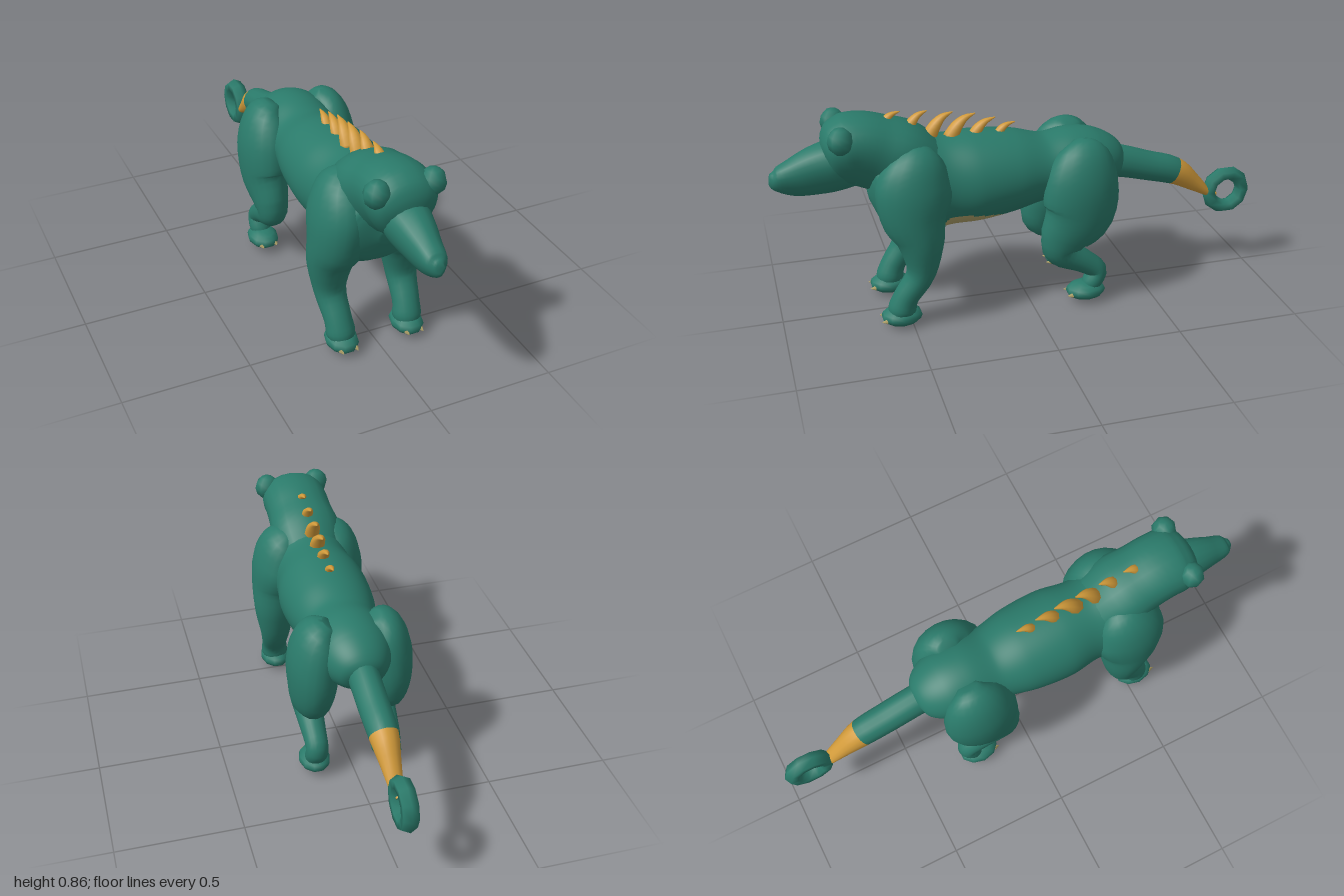
import * as THREE from 'three';

const skin = new THREE.MeshStandardMaterial({ name: 'teal hide', color: 0x2a7a6a });
const gold = new THREE.MeshStandardMaterial({ name: 'gold', color: 0xd19a3a });
const tan = new THREE.MeshStandardMaterial({ name: 'tan belly', color: 0xb0a26a });

// Smooth loft through rows of [x, y, z, halfWidth, halfDepth].
// taper widens the upper side; isPatch(y, z) marks faces for the second material.
function loft(rows, { sides = 20, steps = 4, taper = 0, isPatch = () => false } = {}) {
  const path = new THREE.CatmullRomCurve3(rows.map(r => new THREE.Vector3(r[0], r[1], r[2])), false, 'catmullrom');
  const size = new THREE.CatmullRomCurve3(rows.map(r => new THREE.Vector3(r[3], r[4], 0)), false, 'catmullrom');
  const count = (rows.length - 1) * steps;
  const pos = [], main = [], patch = [];
  for (let i = 0; i <= count; i++) {
    const c = path.getPoint(i / count), s = size.getPoint(i / count), t = path.getTangent(i / count);
    const side = new THREE.Vector3(1, 0, 0).addScaledVector(t, -t.x).normalize();
    const up = new THREE.Vector3().crossVectors(t, side);
    for (let j = 0; j < sides; j++) {
      const a = (j / sides) * Math.PI * 2;
      const p = c.clone()
        .addScaledVector(side, Math.cos(a) * Math.max(s.x, 0.002) * (1 + taper * Math.sin(a)))
        .addScaledVector(up, Math.sin(a) * Math.max(s.y, 0.002));
      pos.push(p.x, p.y, p.z);
    }
  }
  for (let i = 0; i < count; i++) {
    for (let j = 0; j < sides; j++) {
      const a = i * sides + j, b = i * sides + (j + 1) % sides, c = a + sides, d = b + sides;
      const y = (pos[a * 3 + 1] + pos[d * 3 + 1]) / 2, z = (pos[a * 3 + 2] + pos[d * 3 + 2]) / 2;
      (isPatch(y, z) ? patch : main).push(a, b, d, a, d, c);
    }
  }
  // end caps
  const last = count * sides;
  for (let j = 1; j < sides - 1; j++) main.push(0, j + 1, j, last, last + j, last + j + 1);
  const g = new THREE.BufferGeometry();
  g.setAttribute('position', new THREE.Float32BufferAttribute(pos, 3));
  g.setIndex([...main, ...patch]);
  g.addGroup(0, main.length, 0);
  if (patch.length) g.addGroup(main.length, patch.length, 1);
  g.computeVertexNormals();
  return g;
}

// rounded belly outline, higher toward the chest
function onBelly(y, z) {
  const u = (z - 0.215) / 0.155;
  return Math.abs(u) < 1 && y < 0.352 + (0.07 + 0.035 * u) * Math.pow(1 - u ** 4, 0.5) + 0.012 * (1 - u);
}

export function createModel() {
  const model = new THREE.Group();
  const add = (name, geometry, material) => {
    const m = new THREE.Mesh(geometry, material);
    m.name = name;
    model.add(m);
    return m;
  };
  const blob = (name, p, r, w, h) => {
    const m = add(name, new THREE.SphereGeometry(1, w, h), skin);
    m.position.set(...p);
    m.scale.set(...r);
  };

  // torso with a tan belly
  add('torso', loft([
    [0, 0.55, -0.41, 0.02, 0.02], [0, 0.555, -0.385, 0.09, 0.08], [0, 0.565, -0.3, 0.14, 0.125],
    [0, 0.57, -0.2, 0.15, 0.14], [0, 0.56, -0.08, 0.15, 0.135], [0, 0.56, 0.05, 0.175, 0.165],
    [0, 0.555, 0.2, 0.183, 0.185], [0, 0.55, 0.33, 0.165, 0.188], [0, 0.545, 0.45, 0.18, 0.212],
    [0, 0.54, 0.54, 0.185, 0.182], [0, 0.53, 0.6, 0.15, 0.13], [0, 0.525, 0.63, 0.03, 0.03],
  ], { sides: 90, steps: 12, isPatch: onBelly }), [skin, tan]);

  // neck and skull
  add('head', loft([
    [0, 0.58, 0.36, 0.115, 0.12], [0, 0.65, 0.49, 0.142, 0.155], [0, 0.69, 0.585, 0.132, 0.15],
    [0, 0.714, 0.66, 0.13, 0.146], [0, 0.712, 0.72, 0.127, 0.137], [0, 0.705, 0.77, 0.1, 0.1],
    [0, 0.7, 0.795, 0.03, 0.03],
  ], { sides: 24, taper: 0.28 }), skin);

  // tapering snout
  add('snout', loft([
    [0, 0.67, 0.66, 0.07, 0.1], [0, 0.658, 0.74, 0.085, 0.104], [0, 0.645, 0.81, 0.075, 0.1],
    [0, 0.626, 0.9, 0.056, 0.08], [0, 0.623, 0.97, 0.042, 0.05], [0, 0.628, 1.0, 0.015, 0.022],
  ], { sides: 20, taper: 0.25 }), skin);

  for (const s of [1, -1]) {
    const label = s > 0 ? 'left' : 'right';
    const flip = rows => rows.map(([x, ...rest]) => [x * s, ...rest]);

    blob(label + 'Ear', [0.108 * s, 0.795, 0.735], [0.052, 0.054, 0.05], 8, 6);

    // front leg from shoulder to ankle
    add(label + 'FrontLeg', loft(flip([
      [0.07, 0.73, 0.43, 0.03, 0.04], [0.105, 0.675, 0.445, 0.085, 0.11], [0.125, 0.58, 0.468, 0.106, 0.15],
      [0.135, 0.47, 0.475, 0.106, 0.132], [0.15, 0.36, 0.455, 0.09, 0.092], [0.152, 0.23, 0.46, 0.064, 0.058],
      [0.146, 0.13, 0.52, 0.054, 0.05], [0.142, 0.07, 0.54, 0.056, 0.056], [0.142, 0.03, 0.54, 0.03, 0.04],
    ])), skin);
    blob(label + 'FrontFoot', [0.14 * s, 0.043, 0.542], [0.064, 0.041, 0.083], 10, 8);

    // hind leg from hip through knee and hock
    add(label + 'HindLeg', loft(flip([
      [0.09, 0.69, -0.22, 0.03, 0.04], [0.125, 0.64, -0.215, 0.08, 0.11], [0.145, 0.53, -0.2, 0.1, 0.15],
      [0.152, 0.4, -0.185, 0.092, 0.148], [0.152, 0.3, -0.125, 0.072, 0.1], [0.15, 0.24, -0.118, 0.06, 0.068],
      [0.15, 0.185, -0.205, 0.05, 0.05], [0.15, 0.135, -0.268, 0.045, 0.042], [0.152, 0.085, -0.25, 0.045, 0.04],
      [0.152, 0.05, -0.23, 0.03, 0.035],
    ])), skin);
    blob(label + 'HindFoot', [0.152 * s, 0.05, -0.222], [0.064, 0.039, 0.083], 10, 8);

    // small claws, two per foot
    for (const dx of [-0.03, 0.03]) {
      for (const [end, x, y, z] of [['Front', 0.14, 0.037, 0.617], ['Hind', 0.152, 0.044, -0.147]]) {
        const claw = add(label + end + 'Claw', new THREE.ConeGeometry(0.012, 0.024, 4), tan);
        claw.position.set(x * s + dx, y, z);
        claw.rotation.x = Math.PI / 2;
      }
    }
  }

  // tail with a gold tip, and end ring
  add('tail', loft([
    [0, 0.56, -0.3, 0.06, 0.075], [0, 0.54, -0.41, 0.06, 0.068], [0, 0.505, -0.53, 0.06, 0.062],
    [0, 0.468, -0.65, 0.056, 0.058], [0, 0.405, -0.74, 0.04, 0.037], [0, 0.347, -0.815, 0.026, 0.015],
    [0, 0.335, -0.85, 0.012, 0.01],
  ], { sides: 16, isPatch: (y, z) => z < -0.65 - (y - 0.468) * 0.476 }), [skin, gold]);
  const ring = add('tailRing', new THREE.TorusGeometry(0.076, 0.03, 6, 10), skin);
  ring.position.set(0, 0.35, -0.894);
  ring.rotation.y = Math.PI / 2;
  ring.scale.z = 1.15;

  // back spikes: base z, base y, tip z, tip y, half width
  const spikes = [
    [0.555, 0.81, 0.49, 0.85, 0.022], [0.46, 0.775, 0.385, 0.842, 0.027], [0.375, 0.74, 0.285, 0.827, 0.033],
    [0.29, 0.73, 0.195, 0.812, 0.033], [0.2, 0.725, 0.115, 0.787, 0.027], [0.1, 0.725, 0.035, 0.76, 0.02],
  ];
  for (const [bz, by, tz, ty, w] of spikes) {
    const dz = tz - bz, dy = ty - by;
    add('backSpike', loft([
      [0, by - 0.015, bz + 0.01, w, w], [0, by + dy * 0.4, bz + dz * 0.2, w * 0.9, w * 0.75],
      [0, by + dy * 0.8, bz + dz * 0.55, w * 0.55, w * 0.42], [0, ty, tz, 0.002, 0.002],
    ], { sides: 8, steps: 3 }), gold);
  }
  return model;
}
